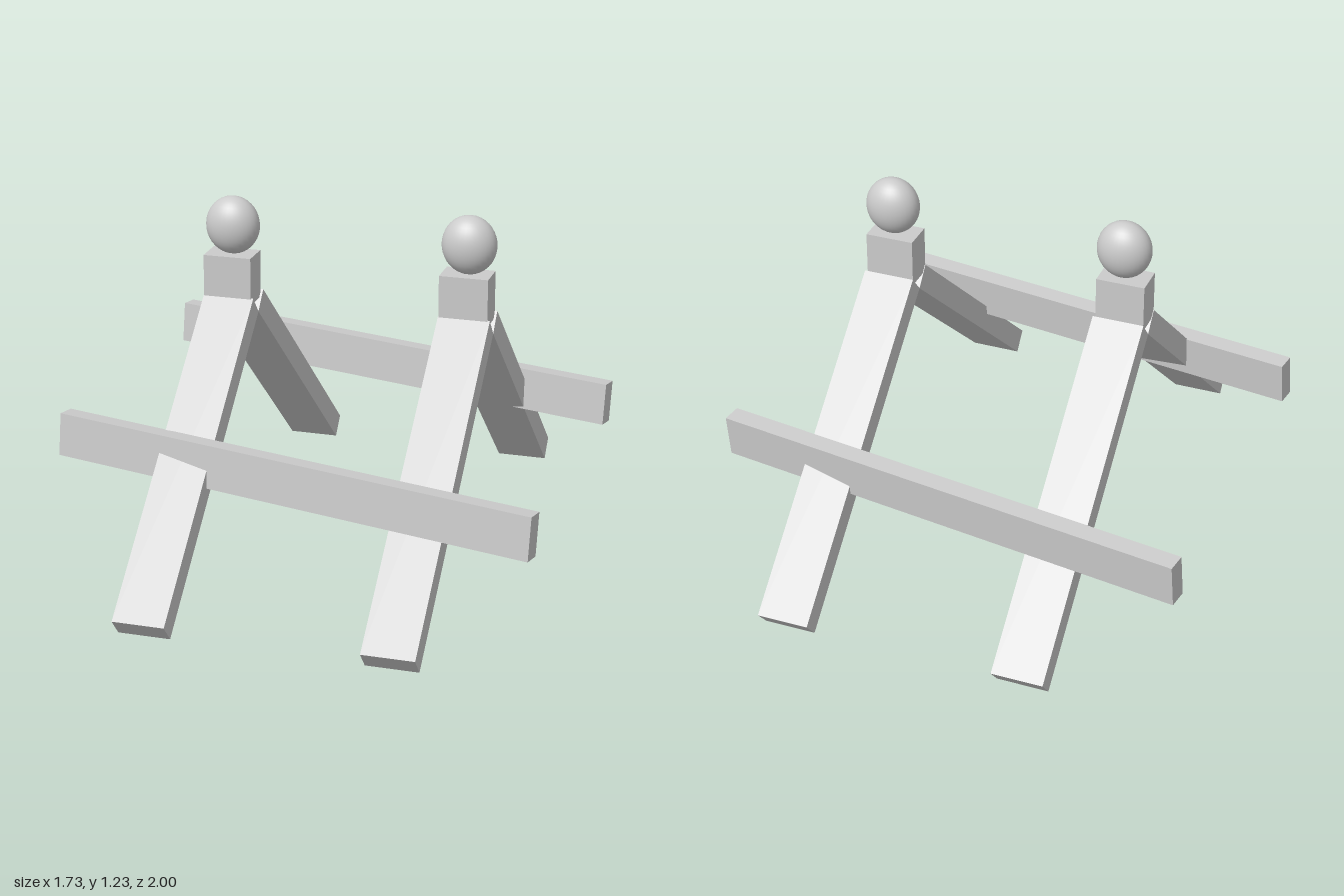
import * as THREE from 'three';

const material = new THREE.MeshStandardMaterial({ color: 0xcccccc });

function addMesh(parent, name, geometry, x, y, z) {
  const mesh = new THREE.Mesh(geometry, material);
  mesh.name = name;
  mesh.position.set(x, y, z);
  parent.add(mesh);
  return mesh;
}

// One A-frame: two splayed legs, a block at the apex and an egg-shaped finial
function createFrame(name, x) {
  const frame = new THREE.Group();
  frame.name = name;
  frame.position.x = x;

  const legAngle = Math.atan2(0.82, 0.945);
  for (const [legName, side] of [['frontLeg', 1], ['backLeg', -1]]) {
    const leg = addMesh(frame, legName, new THREE.BoxGeometry(0.18, 0.085, 1.251), 0, 0.4425, side * 0.5);
    leg.rotation.x = side * legAngle;
  }

  addMesh(frame, 'apexBlock', new THREE.BoxGeometry(0.17, 0.168, 0.11), -0.003, 0.944, 0.004);
  const finial = addMesh(frame, 'finial', new THREE.SphereGeometry(1, 32, 20), 0.003, 1.13, 0.005);
  finial.scale.set(0.095, 0.102, 0.074);
  return frame;
}

// Skewed rail: turned across the frames, sloping down to the left, leaning back
function addRail(parent, name, z) {
  const along = new THREE.Vector3(0.983, -0.027, 0.181).normalize();
  const lean = new THREE.Vector3(0, 1, -0.08);
  const through = new THREE.Vector3().crossVectors(along, lean).normalize();
  const up = new THREE.Vector3().crossVectors(through, along);
  const rail = addMesh(parent, name, new THREE.BoxGeometry(1.742, 0.15, 0.065), -0.003, 0.445, z);
  rail.quaternion.setFromRotationMatrix(new THREE.Matrix4().makeBasis(along, up, through));
}

export function createModel() {
  const model = new THREE.Group();
  model.name = 'trestle';
  model.add(createFrame('rightFrame', -0.387), createFrame('leftFrame', 0.451));
  addRail(model, 'frontRail', 0.585);
  addRail(model, 'backRail', -0.662);
  return model;
}
